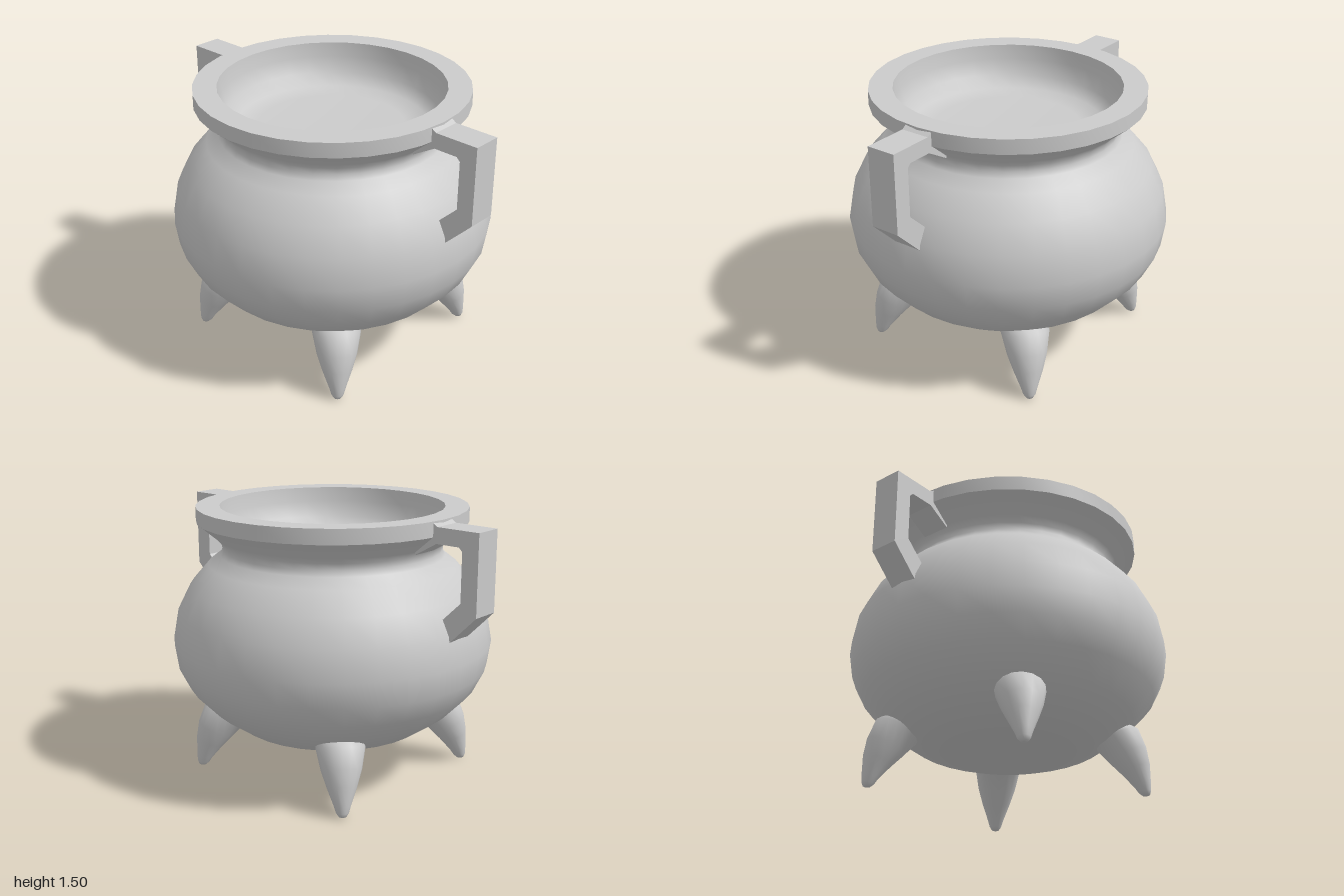
import * as THREE from 'three';
import { mergeVertices, toCreasedNormals } from 'three/addons/utils/BufferGeometryUtils.js';

const material = new THREE.MeshStandardMaterial({ color: 0xcccccc });

function addMesh(parent, name, geometry) {
  const mesh = new THREE.Mesh(geometry, material);
  mesh.name = name;
  parent.add(mesh);
  return mesh;
}

// Round pot: belly, neck, flared rim and shallow inner bowl in one profile
function potGeometry() {
  const profile = [
    [0, 0.19], [0.16, 0.19], [0.34, 0.212], [0.53, 0.28], [0.68, 0.385],
    [0.8, 0.51], [0.86, 0.63], [0.88, 0.765], [0.85, 0.93], [0.78, 1.07],
    [0.68, 1.185], [0.615, 1.235], [0.6, 1.265], [0.605, 1.3], [0.63, 1.33],
    [0.738, 1.42], [0.738, 1.5], [0.61, 1.5], [0.6, 1.42], [0.575, 1.33],
    [0.52, 1.27], [0.4, 1.26], [0, 1.26],
  ].map(([r, y]) => new THREE.Vector2(r, y));
  return toCreasedNormals(new THREE.LatheGeometry(profile, 32), 0.8);
}

// Bracket handle on the +x side, outlined in x/y and extruded through z
function handleGeometry() {
  const outline = [
    [0.725, 1.495], [0.755, 1.475], [1, 1.475], [1, 1.05], [0.845, 0.895],
    [0.75, 0.96], [0.905, 1.11], [0.905, 1.37], [0.885, 1.39], [0.75, 1.39],
    [0.62, 1.315], [0.62, 1.34], [0.7, 1.42],
  ].map(([x, y]) => new THREE.Vector2(x, y));
  const geometry = new THREE.ExtrudeGeometry(new THREE.Shape(outline), { depth: 0.16, bevelEnabled: false });
  return geometry.translate(0, 0, -0.08);
}

// Pointed foot: rings given as distance from the axis, height, radius, tilt
function footGeometry() {
  const rings = [
    [0.75, 0, 0, 0], [0.748, 0.006, 0.02, 0.1], [0.742, 0.025, 0.034, 0.15],
    [0.733, 0.06, 0.045, 0.25], [0.7, 0.15, 0.08, 0.35], [0.66, 0.23, 0.108, 0.4],
    [0.6, 0.325, 0.13, 0.4], [0.53, 0.36, 0.13, 0.4],
  ];
  const geometry = new THREE.LatheGeometry(rings.map((ring, i) => new THREE.Vector2(ring[2], i)), 16);
  const p = geometry.attributes.position;
  for (let i = 0; i < p.count; i++) {
    const [out, height, , tilt] = rings[Math.round(p.getY(i))];
    const x = p.getX(i);
    p.setXYZ(i, out + x * Math.cos(tilt), height + x * Math.sin(tilt), p.getZ(i));
  }
  geometry.deleteAttribute('uv');
  geometry.deleteAttribute('normal');
  const merged = mergeVertices(geometry);
  merged.computeVertexNormals();
  return merged;
}

export function createModel() {
  const model = new THREE.Group();
  model.name = 'cauldron';
  addMesh(model, 'pot', potGeometry());

  const handle = handleGeometry();
  addMesh(model, 'leftHandle', handle);
  addMesh(model, 'rightHandle', handle).rotation.y = Math.PI;

  // Four feet on the diagonals
  const foot = footGeometry();
  ['backLeftFoot', 'backRightFoot', 'frontRightFoot', 'frontLeftFoot'].forEach((name, i) => {
    addMesh(model, name, foot).rotation.y = Math.PI / 4 + i * Math.PI / 2;
  });
  return model;
}
